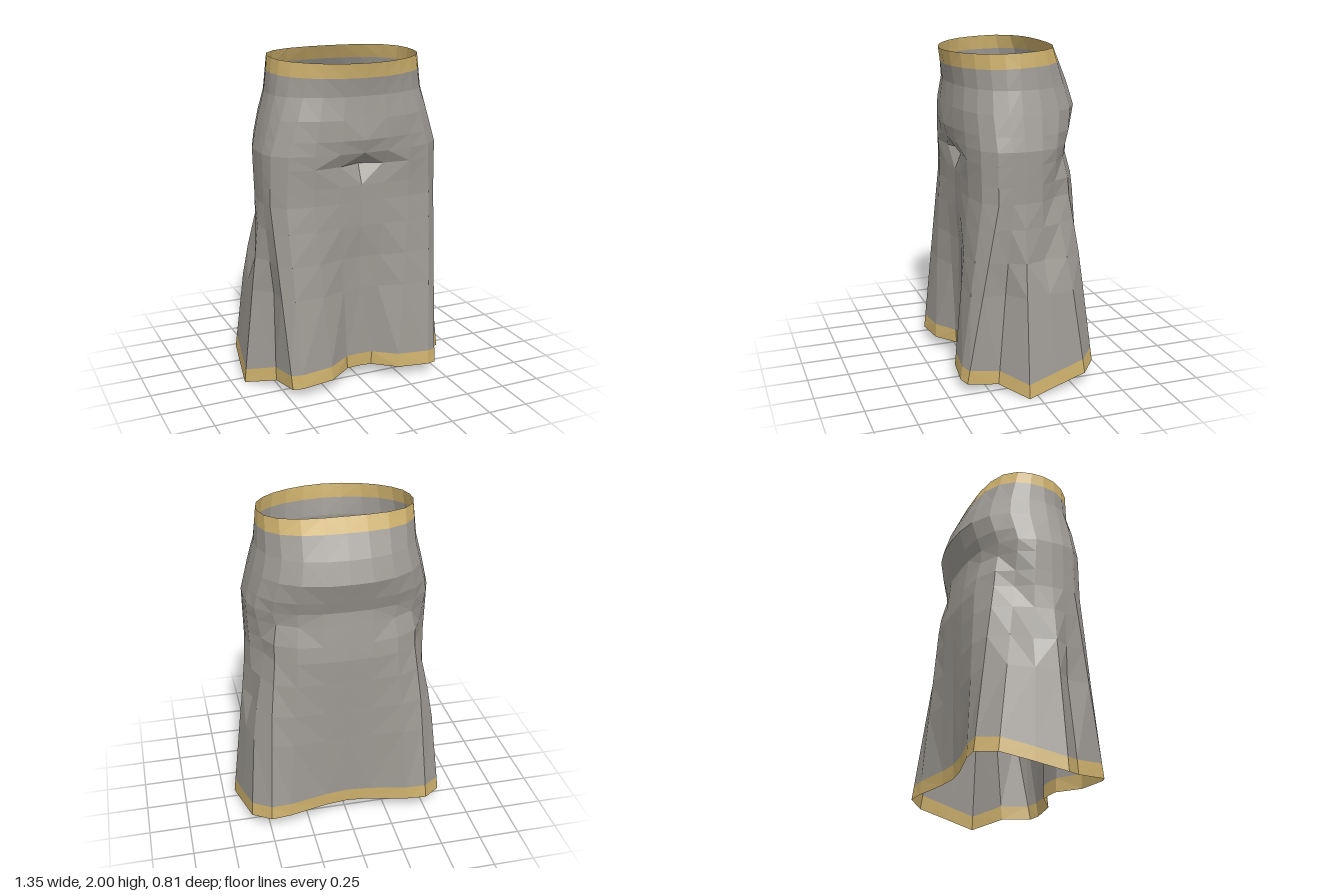
import * as THREE from 'three';

const COLUMNS = 12; // steps from front centre round the side to back centre
const SIDE = COLUMNS / 2;
const TRIM = 0.085;
const CENTRE_Z = 0.05;

// Rounded cross-sections from hip to waist
const sections = [
  { y: 1.15, width: 0.55, front: 0.32, back: -0.36, frontPower: 4, backPower: 3.2 },
  { y: 1.45, width: 0.556, front: 0.335, back: -0.325, frontPower: 3.2, backPower: 3 },
  { y: 1.65, width: 0.51, front: 0.352, back: -0.388, frontPower: 2.5, backPower: 2.5 },
  { y: 1.78, width: 0.477, front: 0.34, back: -0.347, frontPower: 2.2, backPower: 2.5 },
  { y: 1.985, width: 0.456, front: 0.372, back: -0.24, frontPower: 1.9, backPower: 3 },
];

// Wavy hem outline, [x, z] from front to back
const hem = [
  [0, .28], [.08, .28], [.22, .38], [.42, .405], [.48, .38], [.52, .2], [.675, .06],
  [.645, -.12], [.61, -.315], [.5, -.41], [.38, -.4], [.14, -.345], [0, -.33],
];

// Creases (negative push) and bulges (positive push) in the cloth
const creases = [
  { column: 0, y: 1.37, across: 1, tall: 0.05, push: -0.08 }, // belly crease
  { column: 0, y: 1.5, across: 1.2, tall: 0.06, push: 0.03 }, // belly lip
  { column: 0, y: 1.22, across: 1.8, tall: 0.1, push: -0.025 }, // hollow under the belly
  { column: 0, y: 0.8, across: 0.9, tall: 0.3, push: -0.025 }, // front gully
  { column: 5, y: 0.55, across: 0.5, tall: 0.3, push: -0.03 }, // side pleat
  { column: 7.2, y: 0.85, across: 0.7, tall: 0.16, push: -0.045 }, // side hollow
  { column: 8.2, y: 1.15, across: 0.8, tall: 0.2, push: -0.06 }, // rear hip hollow
  { column: 9.3, y: 1.38, across: 1, tall: 0.08, push: -0.04 }, // fold under the seat
];

const levels = [0.6, 0.8, 1, 1.15, 1.25, 1.37, 1.45, 1.53, 1.65, 1.78];

// Point of a cross-section in the direction of a column
function sectionPoint(section, i) {
  const angle = (Math.PI * i) / COLUMNS;
  const s = Math.sin(angle), c = Math.cos(angle);
  const power = i < SIDE ? section.frontPower : section.backPower;
  const r = (Math.abs(s) ** power + Math.abs(c) ** power) ** (-1 / power);
  const depth = i < SIDE ? section.front - CENTRE_Z : CENTRE_Z - section.back;
  return new THREE.Vector3(r * s * section.width, section.y, CENTRE_Z + r * c * depth);
}

// Hem point, lowest at the flared side tip
function hemPoint(i) {
  const steps = Math.abs(i - SIDE);
  const rise = i < SIDE ? 0.078 * (steps / SIDE) ** 0.3 : Math.min(0.1, 0.04 * steps);
  return new THREE.Vector3(hem[i][0], rise, hem[i][1]);
}

// One fold line of the cloth, from hem to waist
function foldLine(i) {
  const path = [hemPoint(i), ...sections.map((section) => sectionPoint(section, i))];
  const waist = path[path.length - 1];
  waist.y -= 0.015 * Math.cos((Math.PI * i) / COLUMNS);
  const heights = [path[0].y, path[0].y + TRIM, ...levels, waist.y - TRIM, waist.y];
  return heights.map((y) => {
    const k = Math.max(1, path.findIndex((p) => p.y >= y));
    const point = path[k - 1].clone().lerp(path[k], (y - path[k - 1].y) / (path[k].y - path[k - 1].y));
    const outward = new THREE.Vector3(point.x, 0, point.z).normalize();
    for (const f of creases) {
      const distance = ((i - f.column) / f.across) ** 2 + ((y - f.y) / f.tall) ** 2;
      point.addScaledVector(outward, f.push * Math.exp(-distance));
    }
    return point;
  });
}

// Facets between two rows, split along the shorter diagonal
function clothBand(columns, from, to) {
  const corners = [];
  columns.forEach((column, i) => {
    const next = columns[(i + 1) % columns.length];
    for (let j = from; j < to; j++) {
      const [a, b, c, d] = [column[j], next[j], next[j + 1], column[j + 1]];
      if (a.distanceTo(c) < b.distanceTo(d)) corners.push(a, b, c, a, c, d);
      else corners.push(a, b, d, b, c, d);
    }
  });
  const geometry = new THREE.BufferGeometry().setFromPoints(corners);
  geometry.computeVertexNormals();
  return geometry;
}

function clothMaterial(name, color) {
  const material = new THREE.MeshStandardMaterial({ color, flatShading: true, side: THREE.DoubleSide });
  material.name = name;
  return material;
}

export function createModel() {
  const cloth = clothMaterial('grey cloth', 0x9e9a94);
  const trim = clothMaterial('gold trim', 0xcdb06c);

  // Mirror the half to close the ring
  const left = hem.map((_, i) => foldLine(i));
  const right = left.slice(1, -1).reverse()
    .map((column) => column.map((p) => new THREE.Vector3(-p.x, p.y, p.z)));
  const columns = [...left, ...right];
  const top = columns[0].length - 1;

  const group = new THREE.Group();
  group.name = 'skirt';
  const add = (name, from, to, material) => {
    const mesh = new THREE.Mesh(clothBand(columns, from, to), material);
    mesh.name = name;
    group.add(mesh);
  };
  add('hemTrim', 0, 1, trim);
  add('skirtCloth', 1, top - 1, cloth);
  add('waistTrim', top - 1, top, trim);
  return group;
}
